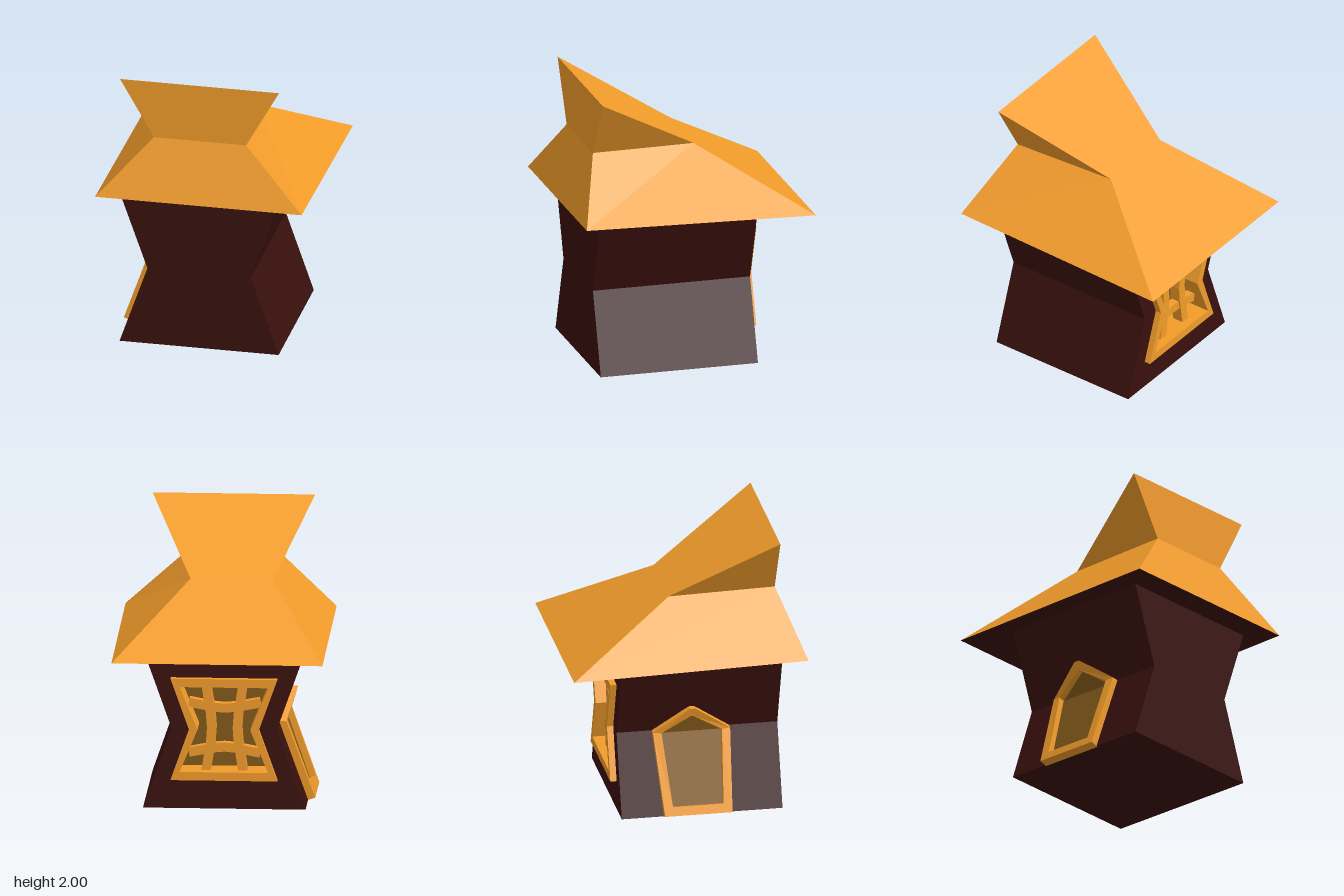
import * as THREE from 'three';

const orange = new THREE.MeshStandardMaterial({ color: 0xf29c2a, flatShading: true, side: THREE.DoubleSide });
const shade = new THREE.MeshStandardMaterial({ color: 0x83591a, flatShading: true, side: THREE.DoubleSide });
const brown = new THREE.MeshStandardMaterial({ color: 0x3a110d, flatShading: true, side: THREE.DoubleSide });

function add(parent, name, geometry, material) {
  const mesh = new THREE.Mesh(geometry, material);
  mesh.name = name;
  parent.add(mesh);
  return mesh;
}

// Flat-sided geometry from a list of quads or triangles
function fromFaces(faces) {
  const pos = [];
  for (const f of faces)
    for (let i = 1; i < f.length - 1; i++) pos.push(...f[0], ...f[i], ...f[i + 1]);
  const g = new THREE.BufferGeometry();
  g.setAttribute('position', new THREE.Float32BufferAttribute(pos, 3));
  g.computeVertexNormals();
  return g;
}

const shapeOf = pts => new THREE.Shape(pts.map(([x, y]) => new THREE.Vector2(x, y)));

function extrude(pts, z0, z1, hole) {
  const s = shapeOf(pts);
  if (hole) s.holes.push(shapeOf(hole));
  const g = new THREE.ExtrudeGeometry(s, { depth: z1 - z0, bevelEnabled: false });
  return g.translate(0, 0, z0);
}

// Waisted outline shared by the walls and the window
const CX = -0.03, WAIST = 0.575;
const hourglass = (wide, narrow, y0, y1) => [
  [CX - wide, y0], [CX + wide, y0], [CX + narrow, WAIST],
  [CX + wide, y1], [CX - wide, y1], [CX - narrow, WAIST]];

function makeRoof() {
  const g = new THREE.Group();
  g.name = 'roof';
  const fl = [-0.74, 1.16, 0.835], fr = [0.74, 1.16, 0.835];
  const bl = [-0.74, 1.12, -0.835], br = [0.74, 1.12, -0.835];
  const mfl = [-0.355, 1.58, 0.665], mfr = [0.305, 1.58, 0.665];
  const mbl = [-0.35, 1.56, -0.09], mbr = [0.23, 1.56, -0.09];
  const tl = [-0.6, 2, 0.66], tr = [0.54, 2, 0.66];
  add(g, 'roofShell', fromFaces([
    [fl, fr, mfr, mfl], [mfl, mfr, tr, tl],
    [br, bl, mbl, mbr], [mbr, mbl, tl, tr],
    [fr, br, mbr, mfr], [mfr, mbr, tr],
    [bl, fl, mfl, mbl], [mbl, mfl, tl],
  ]), orange);
  add(g, 'roofUnderside', fromFaces([[fl, bl, br, fr]]), brown);
  return g;
}

// Lattice bar: a strip of constant width along a bent path
function bar(path, w, z0, z1) {
  const curve = new THREE.CatmullRomCurve3(path.map(([x, y]) => new THREE.Vector3(x, y, 0)));
  const a = [], b = [];
  for (let i = 0; i <= 6; i++) {
    const p = curve.getPoint(i / 6), t = curve.getTangent(i / 6);
    a.push([p.x - t.y * w / 2, p.y + t.x * w / 2]);
    b.unshift([p.x + t.y * w / 2, p.y - t.x * w / 2]);
  }
  return extrude([...a, ...b], z0, z1);
}

function makeWindow() {
  const g = new THREE.Group();
  g.name = 'window';
  const inner = hourglass(0.31, 0.185, 0.27, 0.88);
  add(g, 'windowFrame', extrude(hourglass(0.375, 0.245, 0.21, 0.94), -0.515, -0.28, inner), orange);
  add(g, 'windowBack', extrude(inner, -0.3, -0.28), shade);
  for (const s of [-1, 1]) {
    add(g, 'uprightBar', bar([[CX + s * 0.13, 0.26], [CX + s * 0.09, WAIST], [CX + s * 0.13, 0.89]], 0.065, -0.45, -0.37), orange);
    const y = WAIST + s * 0.14;
    add(g, 'crossBar', bar([[CX - 0.25, y + s * 0.04], [CX, y], [CX + 0.25, y + s * 0.04]], 0.065, -0.44, -0.38), orange);
  }
  return g;
}

// Door follows the bent side wall; d is the distance out from it
function makeDoor() {
  const g = new THREE.Group();
  g.name = 'door';
  const at = ([z, y], d) => {
    const slope = 0.2 / WAIST;
    return [-0.4 - slope * Math.abs(y - WAIST) - d, y + (y < WAIST - 0.01 ? d * slope * 0.9 : 0), z];
  };
  const outer = [[-0.17, 0], [0.31, 0], [0.33, WAIST], [0.07, 0.765], [0.03, 0.765], [-0.22, WAIST]];
  const inner = [[-0.11, 0.06], [0.25, 0.06], [0.27, 0.555], [0.06, 0.7], [0.04, 0.7], [-0.16, 0.555]];
  const faces = [];
  outer.forEach((o, i) => {
    const k = (i + 1) % outer.length;
    faces.push([at(o, 0.05), at(outer[k], 0.05), at(inner[k], 0.05), at(inner[i], 0.05)]);
    faces.push([at(o, -0.01), at(outer[k], -0.01), at(outer[k], 0.05), at(o, 0.05)]);
    faces.push([at(inner[i], 0.05), at(inner[k], 0.05), at(inner[k], 0), at(inner[i], 0)]);
  });
  add(g, 'doorFrame', fromFaces(faces), orange);
  const p = inner.map(q => at(q, 0.008));
  add(g, 'doorPanel', fromFaces([[p[0], p[1], p[2], p[5]], [p[5], p[2], p[3], p[4]]]), shade);
  return g;
}

export function createModel() {
  const model = new THREE.Group();
  model.name = 'house';
  // Walls, with an opening through the back for the window
  const walls = hourglass(0.57, 0.37, 0, 1.14);
  add(model, 'walls', extrude(walls, -0.28, 0.675), brown);
  add(model, 'backWall', extrude(walls, -0.47, -0.28, hourglass(0.35, 0.22, 0.24, 0.91)), brown);
  model.add(makeRoof(), makeWindow(), makeDoor());
  return model;
}
